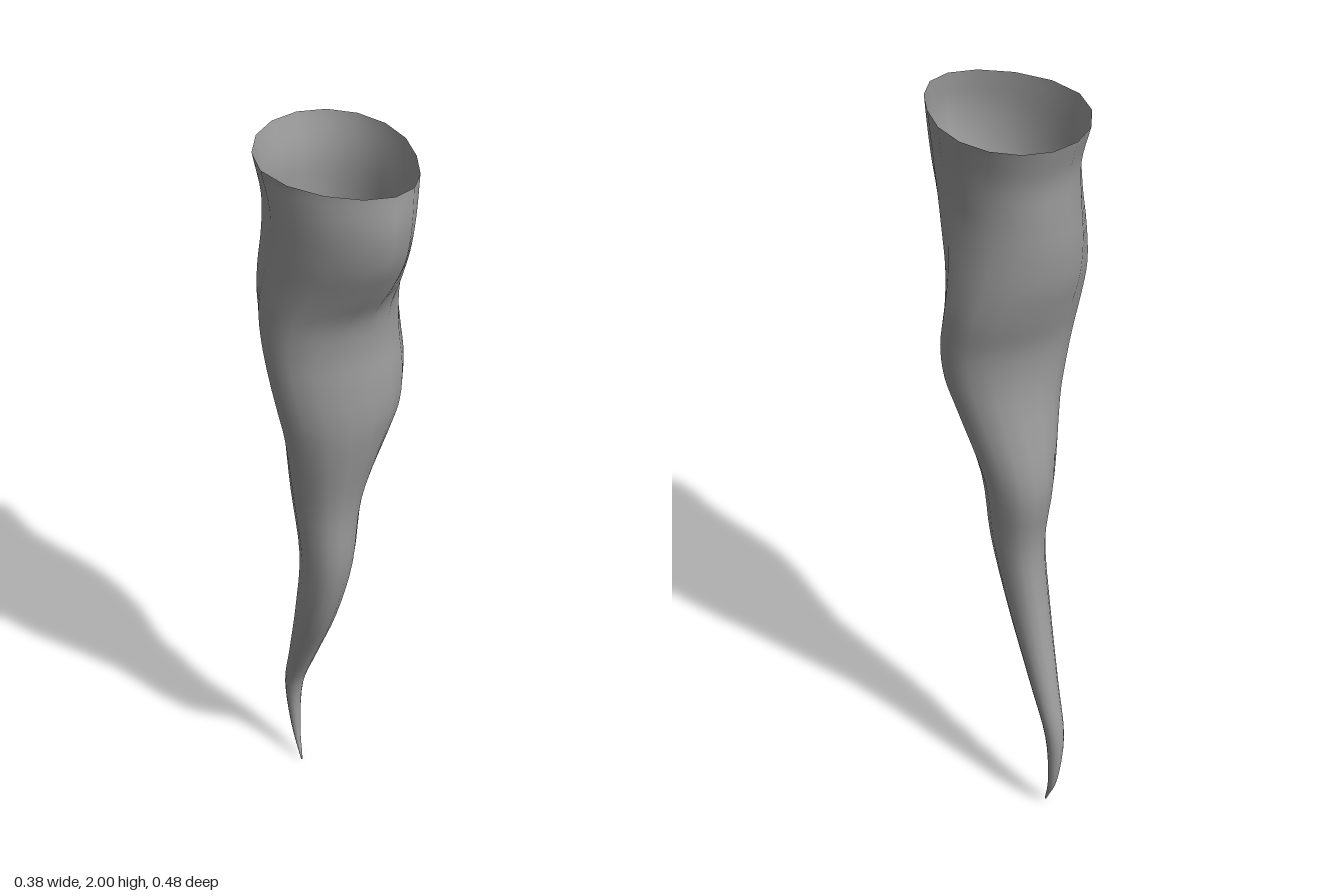
import * as THREE from 'three';

// Cross-sections from tip to rim: y, min x, max x, min z, max z, tilt, sideways lean of the front
const SECTIONS = [
  [0.00, -0.06, -0.056, -0.172, -0.168, 0, 0],
  [0.10, -0.08, -0.055, -0.222, -0.192, 0, 0],
  [0.25, -0.095, -0.045, -0.24, -0.185, 0, 0],
  [0.40, -0.09, -0.015, -0.208, -0.115, 0, 0],
  [0.60, -0.085, 0.025, -0.16, -0.01, 0, 0],
  [0.80, -0.08, 0.06, -0.14, 0.05, 0, 0],
  [1.00, -0.10, 0.085, -0.167, 0.06, 0, 0],
  [1.20, -0.125, 0.145, -0.133, 0.095, 0.1, 0],
  [1.30, -0.145, 0.175, -0.122, 0.107, 0.15, 0],
  [1.40, -0.165, 0.185, -0.13, 0.109, 0.2, 0],
  [1.50, -0.18, 0.178, -0.16, 0.11, 0.2, 0],
  [1.60, -0.187, 0.17, -0.185, 0.127, 0.1, 0],
  [1.70, -0.182, 0.168, -0.198, 0.175, 0, 0.03],
  [1.80, -0.173, 0.17, -0.203, 0.222, -0.05, 0.05],
  [1.90, -0.172, 0.178, -0.208, 0.242, -0.05, 0.055],
  [2.00, -0.19, 0.19, -0.235, 0.235, -0.05, 0.055],
];
const SIDES = 16, RINGS = 60;

// Smooth guide through one set of section values, with matching heights
const guide = (pick) => new THREE.CatmullRomCurve3(
  SECTIONS.map((s) => new THREE.Vector3(...pick(s))), false, 'catmullrom', 0.5);

function hornGeometry() {
  const low = guide((s) => [s[1], s[0], s[3]]);
  const high = guide((s) => [s[2], s[0], s[4]]);
  const twist = guide((s) => [s[5], s[0], s[6]]);
  const positions = [], indices = [];
  for (let i = 0; i <= RINGS; i++) {
    const u = i / RINGS;
    const a = low.getPoint(u), b = high.getPoint(u);
    const { x: tilt, z: lean } = twist.getPoint(u);
    const c = a.clone().add(b).multiplyScalar(0.5);
    const r = b.sub(a).multiplyScalar(0.5);
    for (let j = 0; j < SIDES; j++) {
      const t = (j + 0.5) / SIDES * Math.PI * 2;
      const front = Math.max(0, Math.sin(t)) ** 2;
      // tilt turns the ellipse within its extents; lean draws its front aside
      positions.push(c.x + r.x * Math.cos(t + tilt) + lean * front, c.y, c.z + r.z * Math.sin(t));
      if (i < RINGS) {
        const p = i * SIDES + j, q = i * SIDES + (j + 1) % SIDES;
        indices.push(p, p + SIDES, q, q, p + SIDES, q + SIDES);
      }
    }
  }
  const geometry = new THREE.BufferGeometry();
  geometry.setAttribute('position', new THREE.Float32BufferAttribute(positions, 3));
  geometry.setIndex(indices);
  geometry.computeVertexNormals();
  return geometry;
}

export function createModel() {
  const group = new THREE.Group();
  group.name = 'twistedHorn';
  // Hollow horn, open at the top
  const horn = new THREE.Mesh(hornGeometry(), new THREE.MeshStandardMaterial({
    color: 0x9c9c9c, side: THREE.DoubleSide,
  }));
  horn.name = 'hornShell';
  group.add(horn);
  return group;
}
